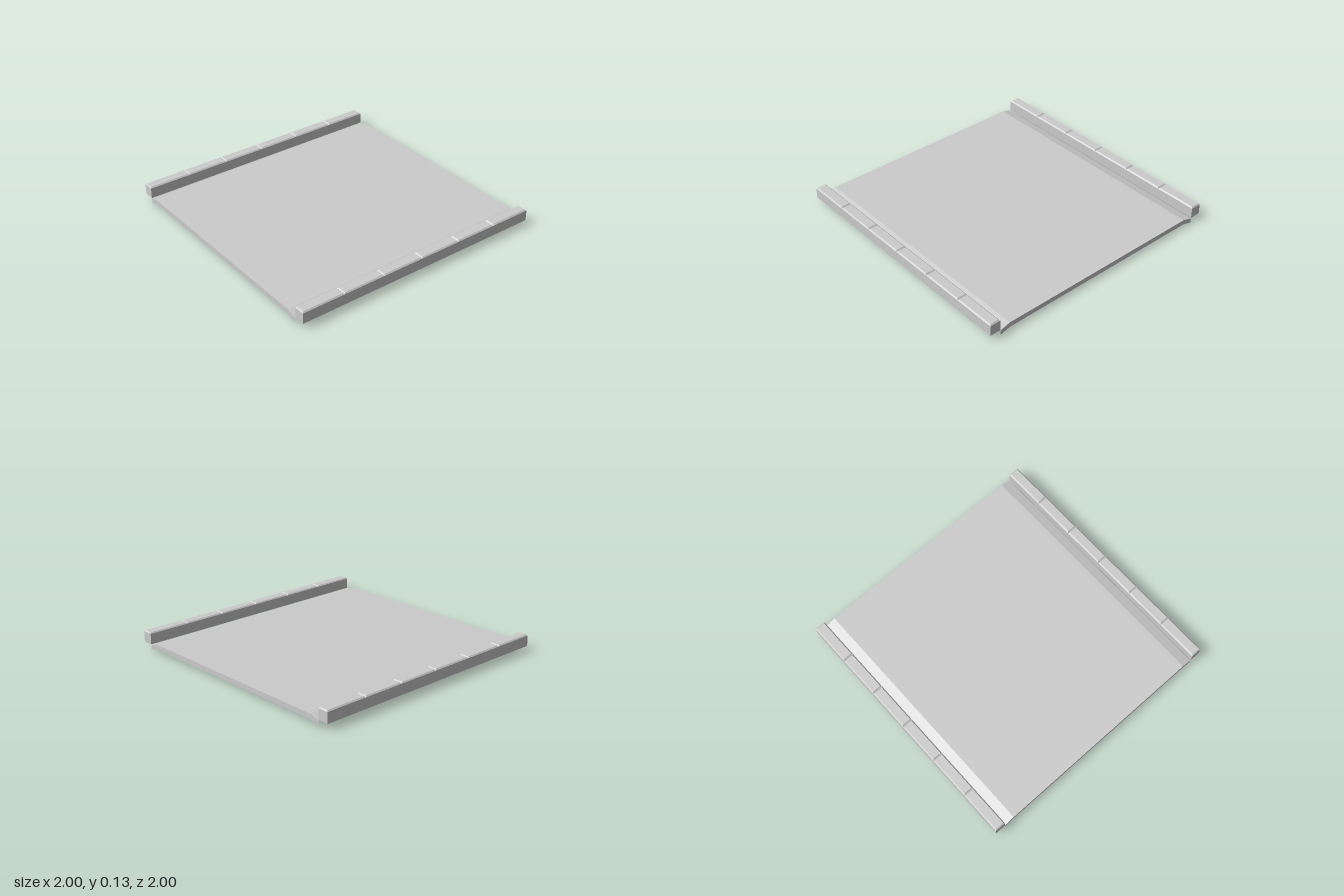
import * as THREE from 'three';

const material = new THREE.MeshStandardMaterial({ color: 0xcccccc, flatShading: true, side: THREE.DoubleSide });

// Builds a mesh from quads whose corners run counter-clockwise seen from outside
function quadMesh(name, quads) {
  const points = quads.flatMap(([a, b, c, d]) => [a, b, c, a, c, d]).flat();
  const geometry = new THREE.BufferGeometry();
  geometry.setAttribute('position', new THREE.Float32BufferAttribute(points, 3));
  geometry.computeVertexNormals();
  const mesh = new THREE.Mesh(geometry, material);
  mesh.name = name;
  return mesh;
}

// Rectangular ring at height y, shrunk by inset
function ring(x0, x1, z0, z1, y, inset = 0) {
  const [l, r, b, f] = [x0 + inset, x1 - inset, z0 + inset, z1 - inset];
  return [[l, y, f], [r, y, f], [r, y, b], [l, y, b]];
}

// Four walls joining a lower ring to an upper ring
function walls(lower, upper) {
  return lower.map((p, i) => {
    const j = (i + 1) % 4;
    return [p, lower[j], upper[j], upper[i]];
  });
}

// Road: top surface with dipped gutters and a skirt at each end, open below
function createRoad() {
  const thickness = 0.038;
  const profile = [[-0.915, 0.041], [-0.835, 0.063], [0.835, 0.063], [0.915, 0.041]];
  const surface = [], skirts = [];
  for (let i = 0; i < profile.length - 1; i++) {
    const [xa, ya] = profile[i], [xb, yb] = profile[i + 1];
    const ba = Math.max(0, ya - thickness), bb = Math.max(0, yb - thickness);
    surface.push([[xa, ya, 1], [xb, yb, 1], [xb, yb, -1], [xa, ya, -1]]);
    skirts.push([[xa, ba, 1], [xb, bb, 1], [xb, yb, 1], [xa, ya, 1]]);
    skirts.push([[xb, bb, -1], [xa, ba, -1], [xa, ya, -1], [xb, yb, -1]]);
  }
  const road = new THREE.Group();
  road.name = 'road';
  road.add(quadMesh('roadSurface', surface), quadMesh('roadEndSkirts', skirts));
  return road;
}

// Kerb: a straight hollow wall topped by a row of bevelled stones
function createKerb(name, x0, x1) {
  const base = 0.045, shoulder = 0.126, top = 0.135, bevel = 0.009, count = 6;
  const kerb = new THREE.Group();
  kerb.name = name;
  kerb.add(quadMesh('kerbWalls', walls(ring(x0, x1, -1, 1, base), ring(x0, x1, -1, 1, shoulder))));
  const length = 2 / count;
  for (let i = 0; i < count; i++) {
    const z0 = -1 + i * length, z1 = z0 + length;
    const lower = ring(x0, x1, z0, z1, shoulder);
    const upper = ring(x0, x1, z0, z1, top, bevel);
    kerb.add(quadMesh('kerbStoneTop', [...walls(lower, upper), upper]));
  }
  return kerb;
}

export function createModel() {
  const model = new THREE.Group();
  model.name = 'roadSegment';
  model.add(createRoad(), createKerb('leftKerb', 0.917, 1), createKerb('rightKerb', -1, -0.917));
  return model;
}
